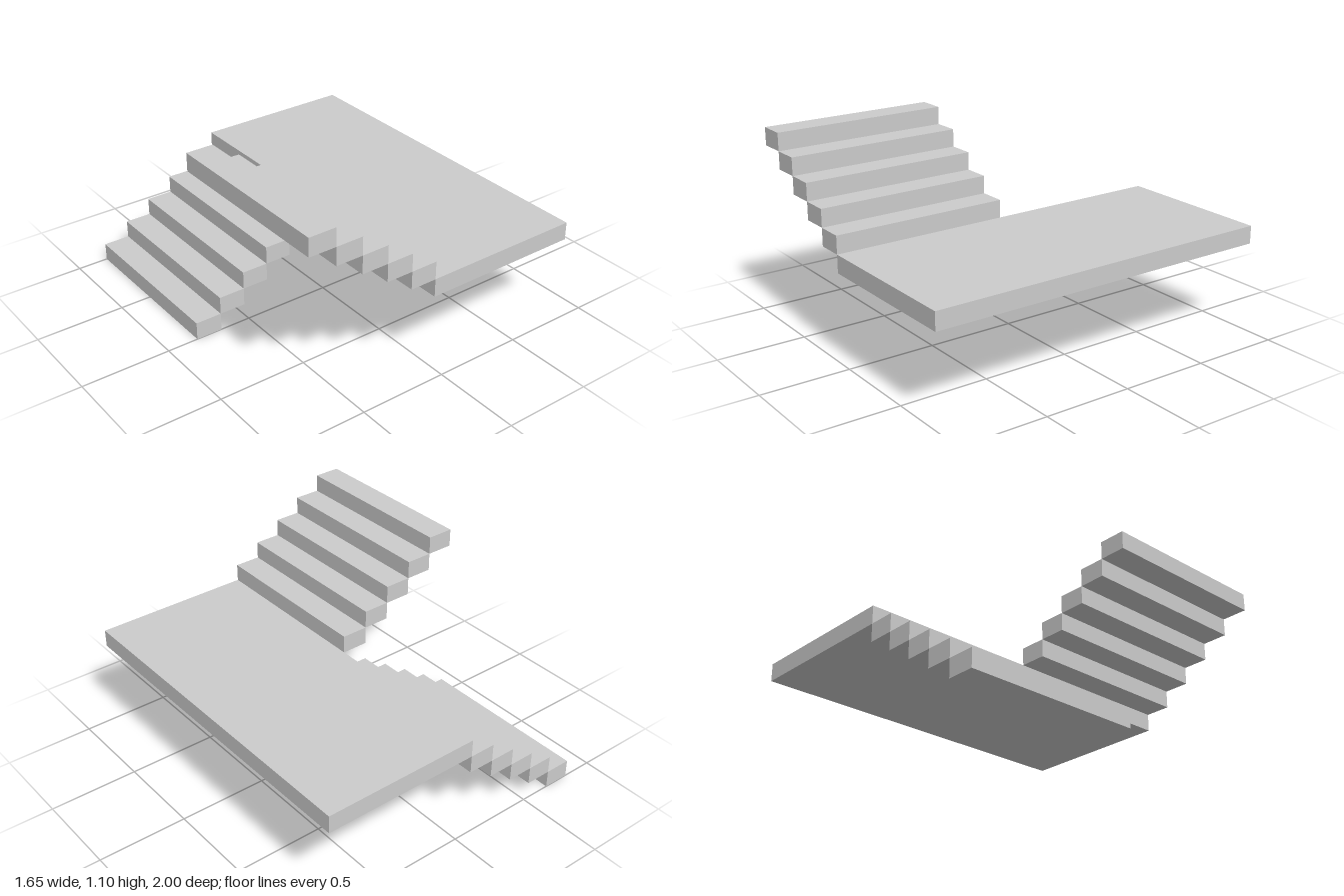
import * as THREE from 'three';

const STEPS = 5, RUN = 0.15, RISE = 0.1, WIDTH = 1;
const LEFT_END = -0.825;      // outer end of both flights
const LANDING_Y = 0.5;        // underside of the landing

export function createModel() {
  const model = new THREE.Group();
  model.name = 'halfTurnStaircase';
  const material = new THREE.MeshStandardMaterial({ color: 0xcccccc, flatShading: true });

  const addBox = (parent, name, size, position) => {
    const mesh = new THREE.Mesh(new THREE.BoxGeometry(...size), material);
    mesh.name = name;
    mesh.position.set(...position);
    parent.add(mesh);
  };

  // One straight flight of block steps; bottomY gives the underside of each step
  const addFlight = (name, z, bottomY) => {
    const flight = new THREE.Group();
    flight.name = name;
    for (let i = 0; i < STEPS; i++) {
      addBox(flight, `step${i + 1}`, [RUN, RISE, WIDTH],
        [LEFT_END + (i + 0.5) * RUN, bottomY(i) + RISE / 2, z]);
    }
    model.add(flight);
  };

  // Lower flight climbs to the landing at the back, upper flight returns at the front
  addFlight('lowerFlight', -WIDTH / 2, (i) => i * RISE);
  addFlight('upperFlight', WIDTH / 2, (i) => LANDING_Y + (STEPS - i) * RISE);

  // Landing slab spanning both flights
  const landingStart = LEFT_END + STEPS * RUN;
  const landingLength = -LEFT_END - landingStart;
  addBox(model, 'landing', [landingLength, RISE, 2 * WIDTH],
    [landingStart + landingLength / 2, LANDING_Y + RISE / 2, 0]);

  return model;
}
